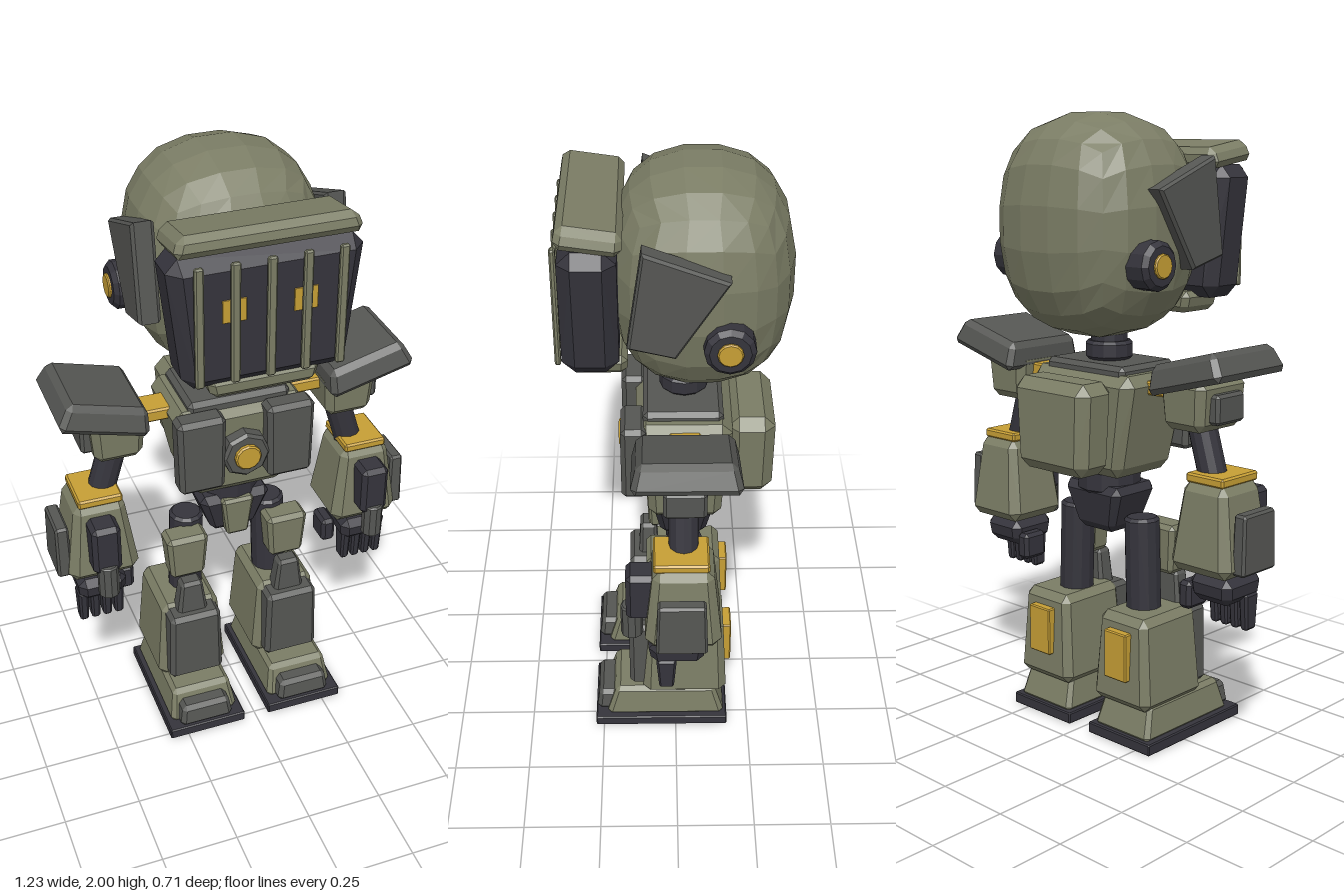
import * as THREE from 'three';
import { ConvexGeometry } from 'three/addons/geometries/ConvexGeometry.js';

const paint = (name, color) => {
  const m = new THREE.MeshStandardMaterial({ color });
  m.name = name;
  return m;
};

export function createModel() {
  const olive = paint('olive armour', 0x7b7d65);
  const grey = paint('grey plating', 0x555653);
  const dark = paint('dark joints', 0x35343c);
  const gold = paint('gold accents', 0xc79f35);
  const model = new THREE.Group();
  model.name = 'robot';

  const add = (parent, name, geometry, material) => {
    const mesh = new THREE.Mesh(geometry, material);
    mesh.name = name;
    parent.add(mesh);
    return mesh;
  };
  const faceted = (geometry) => {
    const g = geometry.index ? geometry.toNonIndexed() : geometry;
    g.computeVertexNormals();
    return g;
  };

  // Chamfered box given by its ranges; top and bottom are [x, z] scales of its ends
  function block(parent, name, material, [x0, x1], [y0, y1], [z0, z1], bevel = 0.012, top = [1, 1], bottom = [1, 1]) {
    const w = (x1 - x0) / 2, h = (y1 - y0) / 2, d = (z1 - z0) / 2;
    const b = Math.min(bevel, w * 0.8, h * 0.8, d * 0.8);
    const points = [];
    for (const sx of [-1, 1]) for (const sy of [-1, 1]) for (const sz of [-1, 1]) {
      for (const [ix, iy, iz] of [[0, b, b], [b, 0, b], [b, b, 0]]) {
        const y = sy * (h - iy), t = (y / h + 1) / 2;
        points.push(new THREE.Vector3(
          sx * (w - ix) * THREE.MathUtils.lerp(bottom[0], top[0], t), y,
          sz * (d - iz) * THREE.MathUtils.lerp(bottom[1], top[1], t)));
      }
    }
    const mesh = add(parent, name, new ConvexGeometry(points), material);
    mesh.position.set((x0 + x1) / 2, (y0 + y1) / 2, (z0 + z1) / 2);
    return mesh;
  }

  // Chamfered cylinder between two points
  function rod(parent, name, material, from, to, radius, sides = 12, bevel = 0.01) {
    const a = new THREE.Vector3(...from), c = new THREE.Vector3(...to);
    const h = a.distanceTo(c) / 2;
    const profile = [[0, -h], [radius - bevel, -h], [radius, -h + bevel], [radius, h - bevel], [radius - bevel, h], [0, h]];
    const g = new THREE.LatheGeometry(profile.map((p) => new THREE.Vector2(...p)), sides);
    const mesh = add(parent, name, faceted(g), material);
    mesh.position.copy(a).add(c).multiplyScalar(0.5);
    mesh.quaternion.setFromUnitVectors(new THREE.Vector3(0, 1, 0), c.sub(a).normalize());
    return mesh;
  }

  const group = (name) => {
    const g = new THREE.Group();
    g.name = name;
    model.add(g);
    return g;
  };
  const mid = (c, w) => [c - w / 2, c + w / 2];

  // Head: a cube rounded into a boxy, faceted ball
  const head = group('head');
  const ball = new THREE.BoxGeometry(2, 2, 2, 5, 5, 5);
  const pos = ball.attributes.position, v = new THREE.Vector3(), P = 2.5;
  for (let i = 0; i < pos.count; i++) {
    v.fromBufferAttribute(pos, i);
    const n = (Math.abs(v.x) ** P + Math.abs(v.y) ** P + Math.abs(v.z) ** P) ** (1 / P);
    v.divideScalar(n);
    pos.setXYZ(i, v.x * 0.298, v.y * 0.348, v.z * 0.278);
  }
  add(head, 'helmet', faceted(ball), olive).position.set(0, 1.656, -0.08);
  block(head, 'visor', dark, [-0.3, 0.3], [1.42, 1.84], [0.165, 0.334], 0.04, [1, 1], [0.84, 1]);
  block(head, 'brow', olive, [-0.285, 0.285], [1.84, 1.905], [0.145, 0.34], 0.02, [0.92, 0.95]).rotation.x = -0.15;
  block(head, 'chinGuard', olive, [-0.18, 0.18], [1.37, 1.44], [0.14, 0.31], 0.02, [1, 1], [0.9, 0.95]);
  for (let i = -2; i <= 2; i++) {
    block(head, 'visorBar', olive, mid(i * 0.108, 0.028), [1.45, 1.83], [0.336, 0.354], 0.005);
  }

  // Torso
  const torso = group('torso');
  rod(torso, 'neck', dark, [0, 1.2, -0.03], [0, 1.36, -0.03], 0.06);
  rod(torso, 'neckRing', dark, [0, 1.23, -0.03], [0, 1.29, -0.03], 0.077);
  block(torso, 'collar', grey, [-0.17, 0.17], [1.18, 1.23], [-0.15, 0.1], 0.015);
  block(torso, 'chest', olive, [-0.225, 0.225], [0.87, 1.205], [-0.18, 0.125], 0.035, [1, 1], [0.68, 0.88]);
  block(torso, 'backpack', olive, [-0.165, 0.165], [0.895, 1.19], [-0.315, -0.165], 0.035, [1, 1], [0.9, 0.95]);
  rod(torso, 'coreHousing', grey, [0, 1.045, 0.1], [0, 1.045, 0.165], 0.08, 8);
  rod(torso, 'core', gold, [0, 1.045, 0.14], [0, 1.045, 0.18], 0.044, 12, 0.005);
  rod(torso, 'waist', dark, [0, 0.8, -0.03], [0, 0.89, -0.03], 0.105);
  block(torso, 'pelvis', dark, [-0.13, 0.13], [0.67, 0.828], [-0.13, 0.075], 0.025, [1, 1], [0.56, 0.7]);
  block(torso, 'pelvisPlate', olive, [-0.056, 0.056], [0.675, 0.82], [0.03, 0.09], 0.01, [1, 1], [0.65, 0.75]);

  for (const s of [1, -1]) {
    const side = s > 0 ? 'left' : 'right';
    const X = (a, b) => (s > 0 ? [a, b] : [-b, -a]);

    // Face and ear details
    block(head, 'eye', gold, X(0.072, 0.144), [1.64, 1.712], [0.331, 0.337], 0.001);
    const outline = [[-0.095, 1.87], [0.155, 1.775], [0, 1.53], [-0.14, 1.565]];
    const cheek = new THREE.ExtrudeGeometry(new THREE.Shape(outline.map((p) => new THREE.Vector2(...p))),
      { depth: 0.05, bevelThickness: 0.01, bevelSize: 0.008, bevelOffset: -0.008, bevelSegments: 1 });
    const plate = add(head, 'cheekPlate', cheek, grey);
    plate.rotation.y = Math.PI / 2;
    plate.position.x = s > 0 ? 0.27 : -0.32;
    rod(head, 'earDisc', dark, [s * 0.23, 1.553, -0.155], [s * 0.337, 1.553, -0.155], 0.076, 12, 0.015);
    rod(head, 'earCap', gold, [s * 0.3, 1.553, -0.155], [s * 0.346, 1.553, -0.155], 0.038, 12, 0.004);
    block(torso, 'chestPlate', grey, X(0.068, 0.228), [0.94, 1.205], [0.09, 0.17], 0.015, [1, 1], [0.93, 1]);

    // Shoulder and upper arm
    const arm = group(side + 'Arm');
    block(arm, 'shoulderLink', gold, X(0.19, 0.33), [1.142, 1.185], [-0.08, 0.02], 0.006);
    block(arm, 'shoulder', olive, X(0.3, 0.48), [1.06, 1.22], [-0.14, 0.09], 0.025, [1, 1], [0.85, 0.92]);
    block(arm, 'shoulderWindow', grey, X(0.45, 0.503), [1.085, 1.178], [-0.09, 0.04], 0.01);
    block(arm, 'shoulderPad', grey, mid(s * 0.436, 0.3), [1.2, 1.29], [-0.195, 0.138], 0.018, [0.84, 0.86]).rotation.z = s * 0.26;
    rod(arm, 'upperArm', dark, [s * 0.375, 1.1, -0.022], [s * 0.435, 0.9, -0.022], 0.046);

    // Forearm
    block(arm, 'cuff', gold, mid(s * 0.46, 0.146), [0.9, 0.93], [-0.1, 0.072], 0.006);
    block(arm, 'forearm', olive, mid(s * 0.463, 0.245), [0.625, 0.908], [-0.142, 0.102], 0.03, [0.66, 0.75]);
    block(arm, 'forearmPlate', grey, X(0.565, 0.614), [0.64, 0.83], [-0.095, 0.065], 0.008, [0.9, 0.92]);
    block(arm, 'forearmModule', dark, mid(s * 0.467, 0.095), [0.69, 0.865], [0.05, 0.157], 0.015);
    rod(arm, 'barrel', grey, [s * 0.467, 0.6, 0.14], [s * 0.467, 0.72, 0.14], 0.035, 10, 0.005);

    // Hand
    rod(arm, 'wrist', dark, [s * 0.467, 0.58, -0.01], [s * 0.467, 0.66, -0.01], 0.055);
    block(arm, 'palm', dark, mid(s * 0.47, 0.168), [0.525, 0.612], [-0.095, 0.092], 0.025, [1, 1], [0.9, 0.85]);
    for (let i = 0; i < 4; i++) {
      block(arm, 'finger', dark, mid(s * (0.415 + i * 0.04), 0.034), [0.43, 0.55], [0, 0.065], 0.008, [1, 1], [0.85, 0.7]);
    }
    block(arm, 'thumb', dark, X(0.345, 0.395), [0.485, 0.575], [-0.085, 0.01], 0.012);

    // Leg
    const leg = group(side + 'Leg');
    rod(leg, 'thigh', dark, [s * 0.155, 0.4, -0.03], [s * 0.145, 0.73, -0.03], 0.058);
    block(leg, 'thighPlate', olive, mid(s * 0.177, 0.145), [0.54, 0.705], [0, 0.095], 0.015, [1, 1], [0.8, 0.85]);
    block(leg, 'kneePlate', grey, mid(s * 0.175, 0.11), [0.4, 0.535], [0.055, 0.125], 0.012, [0.65, 0.8]);
    block(leg, 'shin', olive, mid(s * 0.174, 0.245), [0.13, 0.432], [-0.175, 0.112], 0.025, [0.8, 0.9]);
    block(leg, 'shinPlate', grey, mid(s * 0.175, 0.19), [0.155, 0.42], [0.07, 0.157], 0.015, [0.93, 1]);
    block(leg, 'calfPlate', gold, mid(s * 0.174, 0.095), [0.225, 0.385], [-0.19, -0.14], 0.004);

    // Foot
    block(leg, 'sole', dark, mid(s * 0.179, 0.27), [0, 0.038], [-0.178, 0.277], 0.004);
    block(leg, 'foot', olive, mid(s * 0.178, 0.24), [0.03, 0.147], [-0.17, 0.24], 0.015, [0.84, 0.82]);
    block(leg, 'toeCap', grey, mid(s * 0.18, 0.19), [0.035, 0.115], [0.15, 0.275], 0.015, [0.87, 0.82]);
  }
  return model;
}
